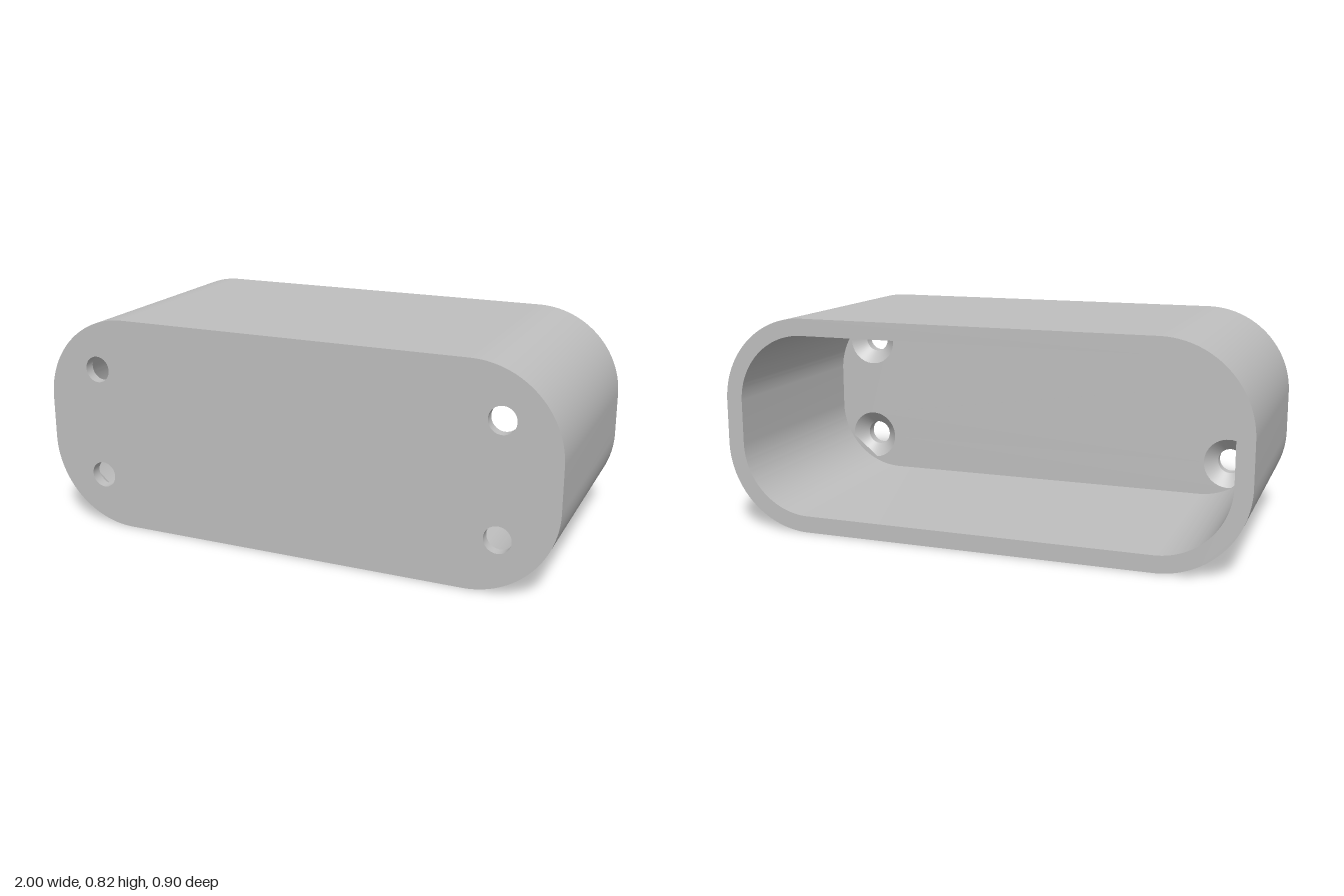
import * as THREE from 'three';
import { mergeVertices, toCreasedNormals } from 'three/addons/utils/BufferGeometryUtils.js';

const HALF_W = 1, HEIGHT = 0.82, HALF_D = 0.4525;
const CORNER = 0.33, WALL = 0.064, PLATE = 0.09;
const HOLE = 0.05, SINK = 0.1, SINK_DEPTH = 0.05;
const HOLES = [];
for (const x of [-0.788, 0.788]) for (const y of [0.199, 0.621]) HOLES.push([x, y]);

// Rounded rectangle outline, inset from the outer edge
function outline(inset, PathType = THREE.Shape) {
  const cx = HALF_W - CORNER, lo = CORNER, hi = HEIGHT - CORNER, r = CORNER - inset;
  const p = new PathType();
  p.absarc(cx, hi, r, 0, Math.PI / 2);
  p.absarc(-cx, hi, r, Math.PI / 2, Math.PI);
  p.absarc(-cx, lo, r, Math.PI, Math.PI * 1.5);
  p.absarc(cx, lo, r, Math.PI * 1.5, Math.PI * 2);
  p.closePath();
  return p;
}

// Flat panel filling the inside of the shell, pierced at every screw hole
function panel(radius) {
  const s = outline(WALL);
  for (const [x, y] of HOLES) s.holes.push(new THREE.Path().absarc(x, y, radius, 0, Math.PI * 2, true));
  return new THREE.ShapeGeometry(s, 24);
}

export function createModel() {
  const group = new THREE.Group();
  const grey = new THREE.MeshStandardMaterial({ color: 0xbfbfbf, side: THREE.DoubleSide });
  grey.name = 'light grey';
  const add = (name, geometry, x = 0, y = 0, z = 0) => {
    const mesh = new THREE.Mesh(geometry, grey);
    mesh.name = name;
    mesh.position.set(x, y, z);
    group.add(mesh);
    return mesh;
  };

  // Shell wall, open at the back
  const ring = outline(0);
  ring.holes.push(outline(WALL, THREE.Path));
  const wall = new THREE.ExtrudeGeometry(ring, { depth: HALF_D * 2, bevelEnabled: false, curveSegments: 24 });
  add('shellWall', toCreasedNormals(wall, 0.6), 0, 0, -HALF_D);

  // Front plate: outer face and inner face
  add('frontPlateOuterFace', panel(HOLE), 0, 0, HALF_D);
  const inner = panel(SINK);
  inner.scale(-1, 1, 1); // hole layout is symmetric, so mirroring only turns the face round
  const index = inner.getIndex();
  const normals = inner.attributes.normal;
  for (let i = 0; i < normals.count; i++) normals.setZ(i, -1);
  for (let i = 0; i < index.count; i += 3) {
    // mirrored positions need reversed corners only if they still face forward
    const [a, b, c] = [0, 1, 2].map((k) => new THREE.Vector3().fromBufferAttribute(inner.attributes.position, index.getX(i + k)));
    if (b.sub(a).cross(c.sub(a)).z > 0) {
      const t = index.getX(i + 1);
      index.setX(i + 1, index.getX(i + 2));
      index.setX(i + 2, t);
    }
  }
  add('frontPlateInnerFace', inner, 0, 0, HALF_D - PLATE);

  // Countersunk screw holes: straight bore at the front, cone at the inside
  const boreDepth = PLATE - SINK_DEPTH;
  const tube = (rFront, rBack, depth) => {
    const g = new THREE.CylinderGeometry(rFront, rBack, depth, 48, 1, true).rotateX(Math.PI / 2);
    const idx = g.getIndex();
    for (let i = 0; i < idx.count; i += 3) {
      const t = idx.getX(i);
      idx.setX(i, idx.getX(i + 1));
      idx.setX(i + 1, t);
    }
    g.deleteAttribute('uv');
    g.deleteAttribute('normal');
    const welded = mergeVertices(g);
    welded.computeVertexNormals();
    return welded;
  };
  for (const [x, y] of HOLES) {
    add('screwBore', tube(HOLE, HOLE, boreDepth), x, y, HALF_D - boreDepth / 2);
    add('countersink', tube(HOLE, SINK, SINK_DEPTH), x, y, HALF_D - boreDepth - SINK_DEPTH / 2);
  }
  return group;
}
